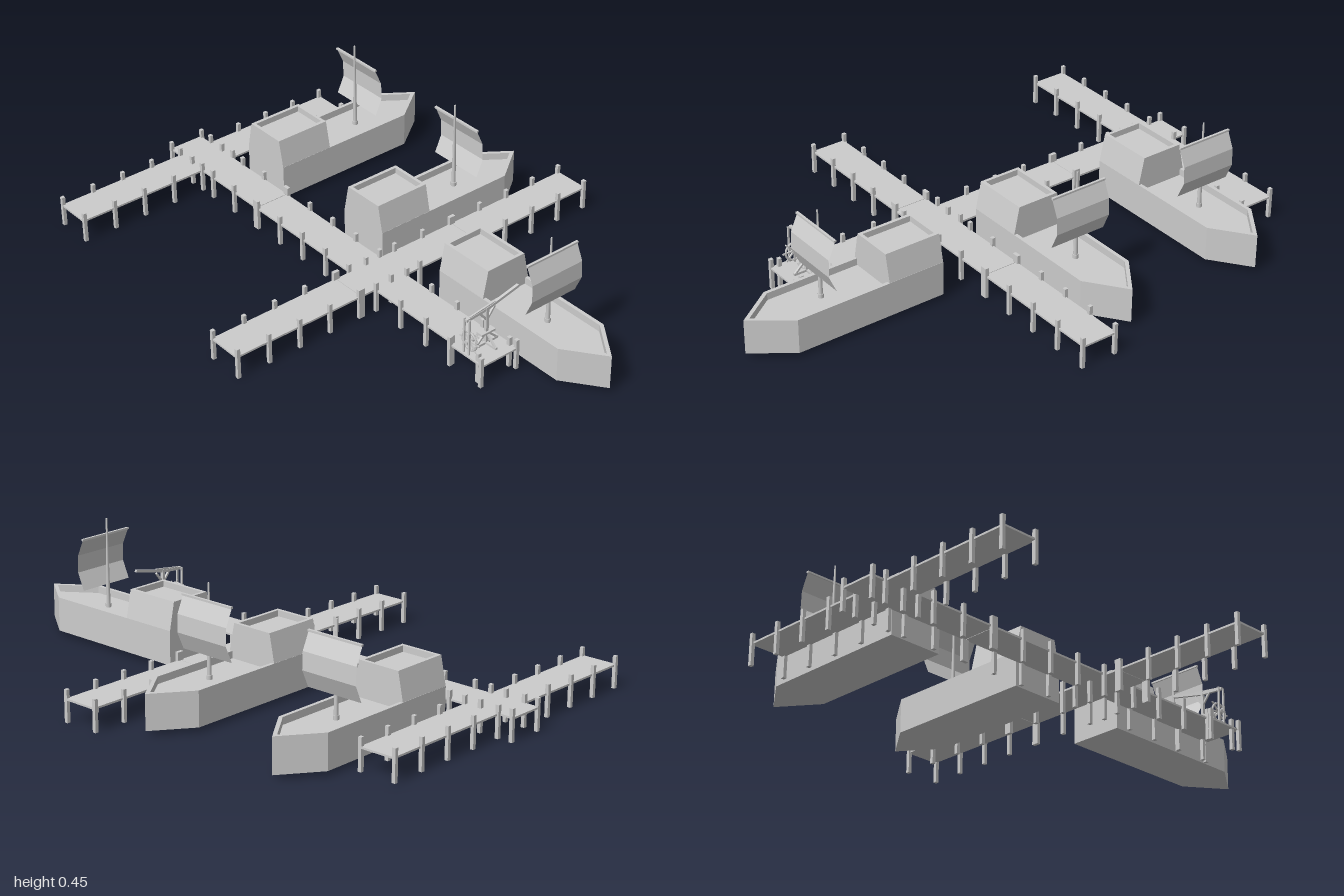
import * as THREE from 'three';

const wood = new THREE.MeshStandardMaterial({ color: 0xcccccc });
wood.name = 'pale grey';
const sailcloth = new THREE.MeshStandardMaterial({ color: 0xcccccc, side: THREE.DoubleSide, flatShading: true });
sailcloth.name = 'pale grey cloth';

function add(parent, name, geometry, x = 0, y = 0, z = 0, material = wood) {
  const mesh = new THREE.Mesh(geometry, material);
  mesh.name = name;
  mesh.position.set(x, y, z);
  parent.add(mesh);
  return mesh;
}

const box = (w, h, d) => new THREE.BoxGeometry(w, h, d);
const shapeOf = (pts) => new THREE.Shape(pts.map(([x, y]) => new THREE.Vector2(x, y)));
const extrude = (shape, depth) => new THREE.ExtrudeGeometry(shape, { depth, bevelEnabled: false });

// Square beam between two points
function beam(parent, name, a, b, t) {
  const from = new THREE.Vector3(...a), to = new THREE.Vector3(...b);
  const mesh = add(parent, name, box(t, t, from.distanceTo(to)));
  mesh.position.copy(from).add(to).multiplyScalar(0.5);
  mesh.lookAt(to);
  return mesh;
}

// Pointed plan outline of the hull; the bow is at +y of the shape
const outline = (w, stern, shoulder, tip) =>
  [[-w, stern], [w, stern], [w, shoulder], [0, tip], [-w, shoulder]];

function createBoat(name) {
  const boat = new THREE.Group();
  boat.name = name;

  // Solid hull up to the deck, with a raised bulwark around it
  const outer = outline(0.102, -0.355, 0.215, 0.355);
  const inner = outline(0.089, -0.342, 0.21, 0.332);
  add(boat, 'hull', extrude(shapeOf(outer), 0.1).rotateX(-Math.PI / 2), 0, 0.017);
  const rim = shapeOf(outer);
  rim.holes.push(shapeOf(inner));
  add(boat, 'bulwark', extrude(rim, 0.026).rotateX(-Math.PI / 2), 0, 0.117);

  // Stern cabin with sloping sides and a parapet around its roof
  const cabin = [[-0.102, 0.14], [0.102, 0.14], [0.085, 0.222], [-0.085, 0.222]];
  add(boat, 'sternCabin', extrude(shapeOf(cabin), 0.215), 0, 0, 0.14);
  add(boat, 'cabinBase', box(0.18, 0.03, 0.2), 0, 0.128, 0.241);
  for (const s of [-1, 1]) {
    const side = [[s * 0.085, 0.222], [s * 0.0805, 0.244], [s * 0.068, 0.244], [s * 0.068, 0.222]];
    add(boat, 'sideParapet', extrude(shapeOf(side), 0.215), 0, 0, 0.14);
  }
  for (const z of [0.146, 0.349]) add(boat, 'endParapet', box(0.138, 0.022, 0.012), 0, 0.233, z);

  // Tapered mast and its collar
  add(boat, 'mast', new THREE.CylinderGeometry(0.003, 0.008, 0.335, 8), 0, 0.28, -0.062);
  add(boat, 'mastCollar', new THREE.CylinderGeometry(0.01, 0.01, 0.015, 8), 0, 0.124, -0.062);

  // Sail bellied toward the bow in three flat bands
  const profile = [[0.388, -0.068], [0.325, -0.096], [0.262, -0.098], [0.2, -0.07]];
  const sail = new THREE.PlaneGeometry(0.22, 0.2, 1, 3);
  const p = sail.attributes.position;
  for (let i = 0; i < p.count; i++) {
    const [y, z] = profile[Math.floor(i / 2)];
    p.setY(i, y);
    p.setZ(i, z);
  }
  sail.computeVertexNormals();
  add(boat, 'sail', sail, 0, 0, 0, sailcloth);
  add(boat, 'yard', box(0.222, 0.007, 0.009), 0, 0.387, -0.07);
  return boat;
}

// Straight pier section between two corners, with posts along both long edges
function createPier(name, x0, x1, z0, z1, spans, alongX) {
  const pier = new THREE.Group();
  pier.name = name;
  add(pier, 'deck', box(x1 - x0, 0.007, z1 - z0), (x0 + x1) / 2, 0.081, (z0 + z1) / 2);
  const inset = 0.005;
  for (let i = 0; i <= spans; i++) {
    const t = i / spans;
    for (const s of [0, 1]) {
      const x = alongX ? x0 + inset + t * (x1 - x0 - 2 * inset) : (s ? x1 : x0);
      const z = alongX ? (s ? z1 : z0) : z0 + inset + t * (z1 - z0 - 2 * inset);
      add(pier, 'post', box(0.013, 0.115, 0.013), x, 0.0575, z);
    }
  }
  return pier;
}

function createCrane() {
  const crane = new THREE.Group();
  crane.name = 'crane';
  const zc = 0.115;

  // Cross-shaped foot, upright post and braces
  add(crane, 'foot', box(0.1, 0.008, 0.009), 0, 0.089, zc);
  add(crane, 'foot', box(0.009, 0.008, 0.1), 0, 0.089, zc);
  add(crane, 'upright', box(0.011, 0.145, 0.011), 0, 0.157, zc);
  for (const s of [-1, 1]) {
    beam(crane, 'footBrace', [s * 0.045, 0.09, zc], [0, 0.132, zc], 0.007);
    beam(crane, 'footBrace', [0, 0.09, zc + s * 0.045], [0, 0.132, zc], 0.007);
    beam(crane, 'boomBrace', [0, 0.178, zc], [0, 0.22, zc + s * 0.033], 0.007);
  }
  add(crane, 'collar', box(0.025, 0.007, 0.06), 0, 0.132, zc);

  // Boom with its tail and sloping jib
  beam(crane, 'boomTail', [0, 0.215, 0.205], [0, 0.222, zc], 0.01);
  beam(crane, 'boom', [0, 0.222, zc], [0, 0.252, -0.02], 0.01);
  beam(crane, 'jibStay', [0, 0.22, 0.19], [0, 0.235, 0.08], 0.006);

  // Winding wheel hung at the tail
  for (const s of [-1, 1]) {
    add(crane, 'wheelHanger', box(0.006, 0.135, 0.006), s * 0.012, 0.152, 0.2);
  }
  add(crane, 'wheelRim', new THREE.TorusGeometry(0.034, 0.004, 6, 16), 0, 0.128, 0.187);
  const hub = add(crane, 'hub', new THREE.CylinderGeometry(0.008, 0.008, 0.035, 8), 0, 0.128, 0.187);
  hub.rotation.x = Math.PI / 2;
  for (let i = 0; i < 4; i++) {
    add(crane, 'spoke', box(0.092, 0.005, 0.005), 0, 0.128, 0.187).rotation.z = i * Math.PI / 4;
  }
  return crane;
}

export function createModel() {
  const harbour = new THREE.Group();
  harbour.name = 'harbour';

  // Piers, section by section
  const piers = [
    ['leftPierBack', -0.94, -0.805, -0.457, 0.064, 4, false],
    ['leftPierFront', -0.94, -0.805, 0.192, 0.712, 4, false],
    ['rightPierBack', 0.037, 0.17, -0.78, -0.262, 4, false],
    ['rightPierMiddle', 0.037, 0.17, -0.26, 0.258, 4, false],
    ['rightPierFront', 0.037, 0.17, 0.26, 0.777, 4, false],
    ['quayLeft', -0.998, -0.482, 0.062, 0.197, 4, true],
    ['quayMiddle', -0.48, 0.037, 0.062, 0.197, 4, true],
    ['quayRight', 0.17, 0.69, 0.062, 0.197, 4, true],
    ['cranePlatform', 0.555, 0.715, 0.054, 0.208, 1, true],
  ];
  for (const spec of piers) harbour.add(createPier(...spec));

  const crane = createCrane();
  crane.position.x = 0.63;
  harbour.add(crane);

  // Two boats moored bow to the back, one lying along the quay
  for (const [name, x, z, turn] of [
    ['leftBoat', -0.655, -0.335, 0],
    ['middleBoat', -0.105, -0.335, 0],
    ['rightBoat', 0.643, -0.087, -Math.PI / 2],
  ]) {
    const boat = createBoat(name);
    boat.position.set(x, 0, z);
    boat.rotation.y = turn;
    harbour.add(boat);
  }
  return harbour;
}
